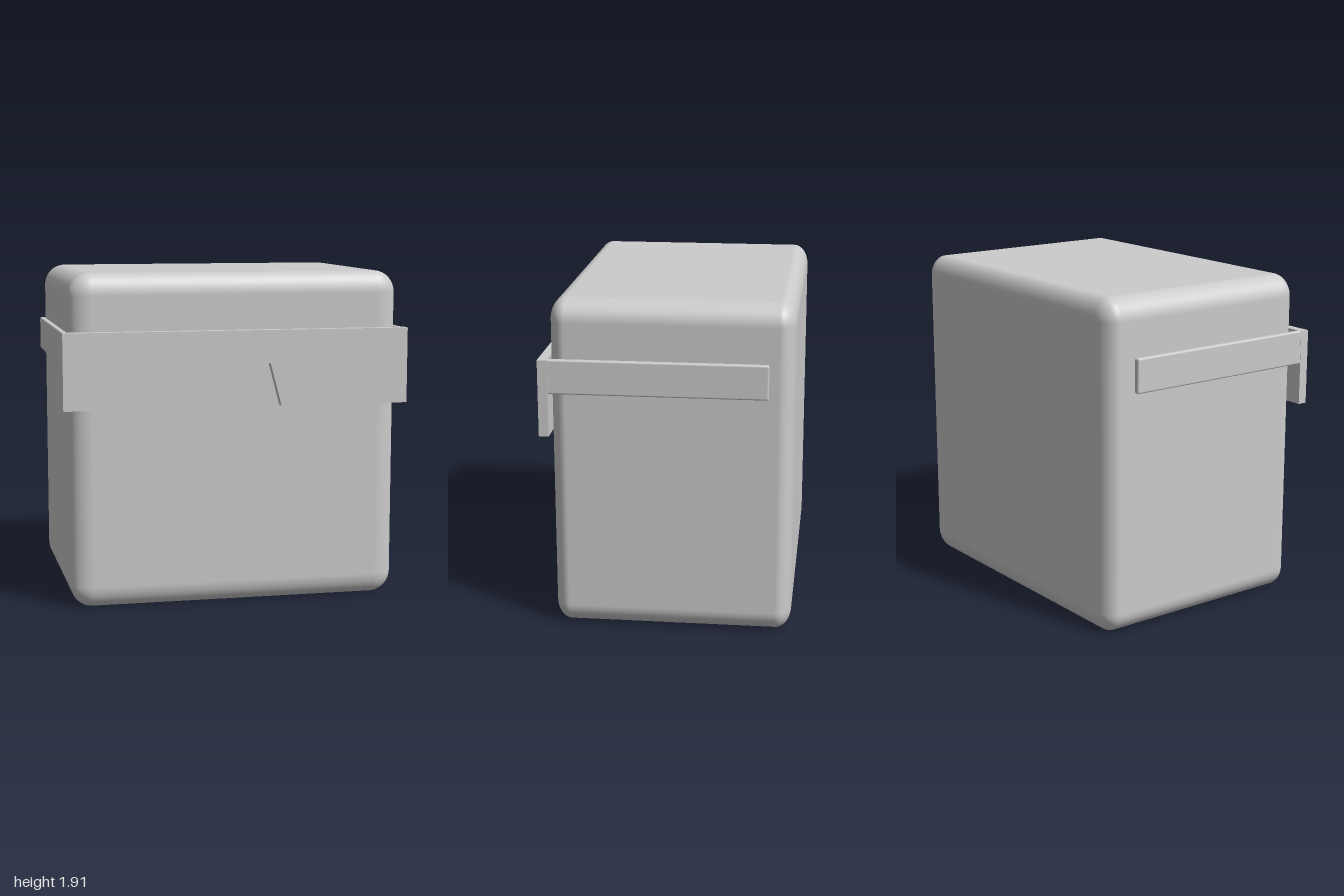
import * as THREE from 'three';
import { RoundedBoxGeometry } from 'three/addons/geometries/RoundedBoxGeometry.js';

const material = new THREE.MeshStandardMaterial({ color: 0xcccccc });

function addMesh(group, name, geometry, x, y, z) {
  const mesh = new THREE.Mesh(geometry, material);
  mesh.name = name;
  mesh.position.set(x, y, z);
  group.add(mesh);
  return mesh;
}

// Flat plate cut from an outline in the xy plane
function plate(points, depth) {
  const shape = new THREE.Shape(points.map(([x, y]) => new THREE.Vector2(x, y)));
  return new THREE.ExtrudeGeometry(shape, { depth, bevelEnabled: false });
}

export function createModel() {
  const model = new THREE.Group();
  model.name = 'headWithGlasses';

  // Rounded cube, flattened front to back so its edges become elliptical
  const head = addMesh(model, 'head', new RoundedBoxGeometry(1.91, 1.91, 1.91, 8, 0.125), 0, 0.955, -0.028);
  head.scale.z = 1.355 / 1.91;

  const glasses = new THREE.Group();
  glasses.name = 'glasses';
  model.add(glasses);

  // Front bar with a slightly uneven nose notch
  addMesh(glasses, 'glassesFront', plate([
    [-1, 1.15], [-0.235, 1.15], [-0.165, 1.415], [0.185, 1.395],
    [0.25, 1.15], [1, 1.15], [1, 1.585], [-1, 1.585],
  ], 0.055), 0, 0, 0.648);

  // Slanted glint, almost flush with the lens
  addMesh(glasses, 'lensGlint', plate([
    [-0.88, 1.19], [-0.78, 1.19], [-0.63, 1.495], [-0.72, 1.535],
  ], 0.01), 0, 0, 0.695);

  // Temple arms: centre x and rear end z
  for (const [name, x, rear] of [['leftTemple', 0.972, -0.565], ['rightTemple', -0.981, -0.54]]) {
    const length = 0.66 - rear;
    addMesh(glasses, name, new RoundedBoxGeometry(0.035, 0.195, length, 3, 0.01), x, 1.488, rear + length / 2);
  }
  return model;
}
